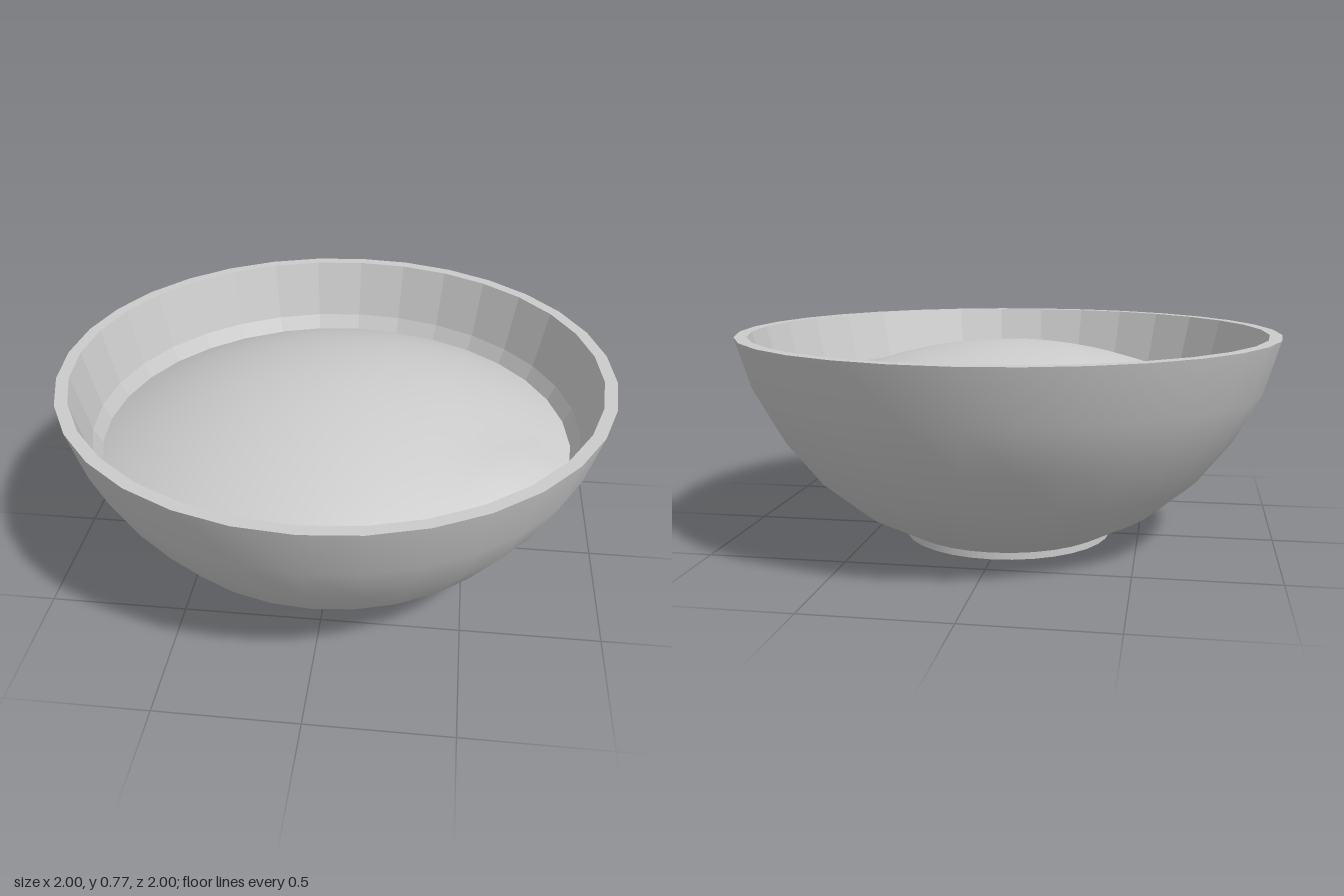
import * as THREE from 'three';

const SIDES = 32;

// Lathe a list of [radius, height] pairs; outer faces are listed upwards, inner faces downwards
function turned(name, profile, flatShading = false) {
  const points = profile.map(([r, y]) => new THREE.Vector2(r, y));
  const material = new THREE.MeshStandardMaterial({ color: 0xcccccc, flatShading });
  const mesh = new THREE.Mesh(new THREE.LatheGeometry(points, SIDES), material);
  mesh.name = name;
  return mesh;
}

export function createModel() {
  const group = new THREE.Group();
  group.name = 'filledBowl';

  // Foot ring with a shallow recess underneath
  const foot = new THREE.Group();
  foot.name = 'foot';
  foot.add(
    turned('footBase', [[0, 0.02], [0.345, 0.02]]),
    turned('footInnerWall', [[0.345, 0.02], [0.345, 0]]),
    turned('footUnderside', [[0.345, 0], [0.39, 0]]),
    turned('footOuterWall', [[0.39, 0], [0.39, 0.025]])
  );

  // Bowl: smooth outside, flat rim, faceted inside
  const bowl = new THREE.Group();
  bowl.name = 'bowl';
  bowl.add(
    turned('outerShell', [[0.39, 0.025], [0.57, 0.12], [0.725, 0.25], [0.85, 0.41], [0.943, 0.58], [1, 0.77]]),
    turned('rim', [[1, 0.77], [0.955, 0.77]], true),
    turned('innerShell', [[0.955, 0.77], [0.897, 0.55], [0.815, 0.39], [0.69, 0.26], [0.54, 0.15], [0.37, 0.07], [0, 0.07]], true)
  );

  // Domed filling, with one small bump near its edge
  const dome = [];
  for (let i = 0; i <= 12; i++) {
    const t = 1 - i / 12;
    dome.push([0.87 * t, 0.731 - 0.24 * t * t]);
  }
  const filling = turned('filling', dome);
  const pos = filling.geometry.attributes.position;
  for (let i = 0; i < pos.count; i++) {
    const d = Math.hypot(pos.getX(i) - 0.69, pos.getZ(i) - 0.32);
    pos.setY(i, pos.getY(i) + 0.045 * Math.exp(-((d / 0.13) ** 2)));
  }
  filling.geometry.computeVertexNormals();
  // Keep the lathe seam and the apex smooth
  const normal = filling.geometry.attributes.normal;
  const row = dome.length;
  for (let j = 0; j < row; j++) {
    const end = SIDES * row + j;
    const n = new THREE.Vector3().fromBufferAttribute(normal, j)
      .add(new THREE.Vector3().fromBufferAttribute(normal, end)).normalize();
    normal.setXYZ(j, n.x, n.y, n.z);
    normal.setXYZ(end, n.x, n.y, n.z);
  }
  for (let s = 0; s <= SIDES; s++) normal.setXYZ(s * row + row - 1, 0, 1, 0);

  group.add(foot, bowl, filling);
  return group;
}
